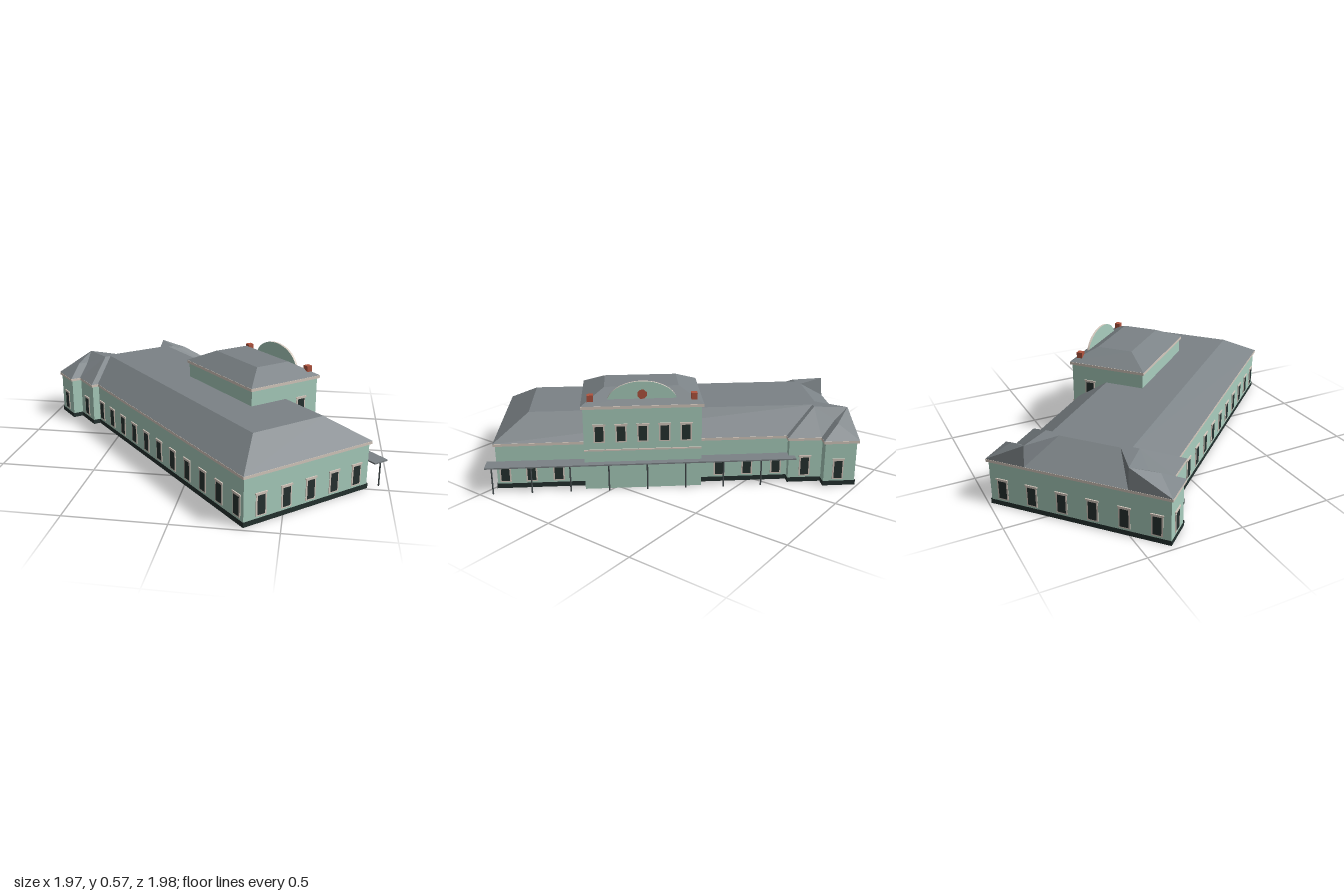
import * as THREE from 'three';

const mat = (name, color, side = THREE.FrontSide) => {
  const m = new THREE.MeshStandardMaterial({ color, side });
  m.name = name;
  return m;
};

export function createModel() {
  const green = mat('wall green', 0xa9cebe, THREE.DoubleSide);
  const slate = mat('roof slate', 0x7b8286, THREE.DoubleSide);
  const cream = mat('trim cream', 0xd6cabf);
  const dark = mat('plinth dark', 0x24312f, THREE.DoubleSide);
  const glass = mat('window glass', 0x263230);
  const brick = mat('brick red', 0xb0543f);
  const steel = mat('canopy steel', 0x4a5254);

  const root = new THREE.Group();
  root.name = 'stationBuilding';
  const building = new THREE.Group();
  building.name = 'building';
  building.rotation.y = 0.7195;
  root.add(building);

  // Plan coordinates: v runs across the building (local x), a along it (local -z)
  const VC = -0.02;
  const TOWER = { v0: -0.027, v1: 0.396, a0: -0.497, a1: 0.107 };

  const add = (name, geo, material, x = 0, y = 0, z = 0, parent = building) => {
    const mesh = new THREE.Mesh(geo, material);
    mesh.name = name;
    mesh.position.set(x, y, z);
    parent.add(mesh);
    return mesh;
  };
  const box = (name, w, h, d, material, v, y, a, parent) =>
    add(name, new THREE.BoxGeometry(w, h, d), material, v, y, -a, parent);

  // Flat polygons given as lists of [v, y, a], each fanned into triangles
  const faces = (name, polys, material) => {
    const pos = [];
    for (const p of polys)
      for (let i = 1; i < p.length - 1; i++)
        for (const [v, y, a] of [p[0], p[i], p[i + 1]]) pos.push(v, y, -a);
    const geo = new THREE.BufferGeometry();
    geo.setAttribute('position', new THREE.Float32BufferAttribute(pos, 3));
    geo.computeVertexNormals();
    return add(name, geo, material);
  };
  const wallStrip = (name, path, y0, y1, material) => faces(name, path.slice(1).map(([v, a], i) => {
    const [pv, pa] = path[i];
    return [[pv, y0, pa], [v, y0, a], [v, y1, a], [pv, y1, pa]];
  }), material);
  const slab = (name, path, y, h, material) => {
    const shape = new THREE.Shape(path.map(([v, a]) => new THREE.Vector2(v, a)));
    const geo = new THREE.ExtrudeGeometry(shape, { depth: h, bevelEnabled: false });
    geo.rotateX(-Math.PI / 2);
    return add(name, geo, material, 0, y, 0);
  };

  // Outline from one side of the tower round to the other, offset outwards by o
  const outline = (o) => {
    const half = [[0.38 + o, -0.962 - o], [0.38 + o, 0.56 - o], [0.42 + o, 0.56 - o],
      [0.42 + o, 0.736 - o], [0.478 + o, 0.736 - o], [0.478 + o, 0.922 + o]];
    const right = half.map(([s, a]) => [VC + s, a]);
    const left = half.map(([s, a]) => [VC - s, a]).reverse();
    return [[right[0][0], TOWER.a1 + 0.002], ...right.slice(1), ...left, right[0],
      [right[0][0], TOWER.a0 - 0.002]];
  };

  // Main hall walls, plinth and cornice
  wallStrip('hallWalls', outline(-0.01), 0, 0.238, green);
  wallStrip('plinth', outline(-0.006), 0, 0.026, dark);
  slab('hallCornice', [...outline(0), [TOWER.v0 - 0.002, TOWER.a0 - 0.002],
    [TOWER.v0 - 0.002, TOWER.a1 + 0.002]], 0.236, 0.014, cream);

  // Main roof: hipped, with stepped wings at the far end
  const E = 0.251, H = 0.36;
  const roof = [];
  const at = (sgn, s, y, a) => [VC + sgn * s, y, a];
  const pts = (g) => ({
    F0: at(g, 0.38, E, -0.962), F1: at(g, 0.21, H, -0.791),
    B0: at(g, 0.38, E, 0.56), K0: at(g, 0.21, H, 0.735),
    S1: at(g, 0.42, E, 0.56), S2: at(g, 0.42, E, 0.736), K: at(g, 0.245, H, 0.735),
    W1: at(g, 0.478, E, 0.736), L: at(g, 0.478, E, 0.922), W: at(g, 0.385, 0.313, 0.829),
    V: at(g, 0.327, 0.313, 0.829), Q: at(g, 0.265, H, 0.912), M: at(g, 0.265, E, 0.922),
    P: at(g, 0.16, H, 0.76),
  });
  const r = pts(1), l = pts(-1);
  for (const p of [r, l]) {
    roof.push([p.F0, p.B0, p.K0, p.F1], [p.B0, p.S1, p.K, p.K0],
      [p.K, p.S1, p.S2, p.V, p.Q], [p.S2, p.W1, p.W, p.V], [p.W1, p.L, p.W],
      [p.V, p.W, p.Q], [p.L, p.M, p.Q, p.W], [p.P, p.Q, p.M], [p.K0, p.K, p.Q, p.P]);
  }
  roof.push([l.F0, r.F0, r.F1, l.F1], [r.M, l.M, l.P, r.P], [l.F1, r.F1, r.K0, r.P, l.P, l.K0]);
  faces('hallRoof', roof, slate);

  // Tower block
  const rect = (o) => [[TOWER.v0 - o, TOWER.a0 - o], [TOWER.v1 + o, TOWER.a0 - o],
    [TOWER.v1 + o, TOWER.a1 + o], [TOWER.v0 - o, TOWER.a1 + o]];
  wallStrip('towerWalls', [...rect(0), rect(0)[0]], 0, 0.442, green);
  slab('towerCornice', rect(0.01), 0.44, 0.015, cream);
  const low = rect(0.01).map(([v, a]) => [v, 0.456, a]);
  const top = rect(-0.11).map(([v, a]) => [v, 0.52, a]);
  faces('towerRoof', [top, ...low.map((p, i) => [p, low[(i + 1) % 4], top[(i + 1) % 4], top[i]])], slate);
  const towerMid = (TOWER.a0 + TOWER.a1) / 2;
  box('stringCourse', 0.008, 0.008, 0.604, cream, TOWER.v1 + 0.002, 0.216, towerMid);

  // Arched pediment with a round vent
  const arch = new THREE.Shape();
  arch.moveTo(-0.18, 0);
  arch.lineTo(0.18, 0);
  arch.absellipse(0, 0, 0.18, 0.115, 0, Math.PI, false);
  const archGeo = new THREE.ExtrudeGeometry(arch, { depth: 0.012, bevelEnabled: false, curveSegments: 20 });
  add('pediment', archGeo, [green, cream], 0.352, 0.455, -towerMid).rotation.y = Math.PI / 2;
  add('pedimentVent', new THREE.CircleGeometry(0.026, 8, Math.PI / 8), brick, 0.366, 0.502, -towerMid)
    .rotation.y = Math.PI / 2;

  // Chimneys
  for (const a of [0.07, -0.458]) box('chimney', 0.032, 0.04, 0.032, brick, 0.362, 0.485, a);

  // Windows: cream frame, lintel and dark pane, turned to face outwards
  const addWindow = (v, a, turn, y = 0.09, h = 0.112) => {
    const g = new THREE.Group();
    g.name = 'window';
    g.position.set(v, y, -a);
    g.rotation.y = turn;
    building.add(g);
    box('windowFrame', 0.058, h, 0.006, cream, 0, 0, 0, g);
    box('windowLintel', 0.066, 0.008, 0.012, cream, 0, h / 2, 0, g);
    add('windowPane', new THREE.PlaneGeometry(0.043, h - 0.016), glass, 0, -0.001, 0.0045, g);
  };
  const R = Math.PI / 2;
  const MAIN = 0.37, STEP = 0.41, WING = 0.468;
  for (let i = 0; i < 11; i++) addWindow(VC - MAIN, 0.527 - i * 0.1427, -R);
  addWindow(VC - STEP, 0.66, -R);
  addWindow(VC - WING, 0.835, -R);
  for (const a of [-0.91, -0.775, -0.635, 0.207, 0.355, 0.51]) addWindow(VC + MAIN, a, R);
  addWindow(VC + STEP, 0.656, R);
  addWindow(VC + WING, 0.82, R);
  for (let i = -2; i <= 2; i++) {
    addWindow(VC + 0.01 + i * 0.1425, -0.952, 0);
    addWindow(TOWER.v1, towerMid + i * 0.111, R, 0.305, 0.096);
  }
  for (let i = 0; i < 6; i++) addWindow(VC - 0.4 + i * 0.16, 0.912, Math.PI);
  addWindow(0.29, TOWER.a0, 0, 0.305, 0.096);
  addWindow(0.29, TOWER.a1, Math.PI, 0.305, 0.096);

  // Platform canopy on slender posts
  box('canopy', 0.085, 0.007, 1.6, slate, 0.391, 0.147, -0.2);
  for (let i = 0; i < 8; i++)
    add('canopyPost', new THREE.CylinderGeometry(0.004, 0.004, 0.145, 6), steel, 0.42, 0.0725, 0.967 - i * 0.198);

  return root;
}
